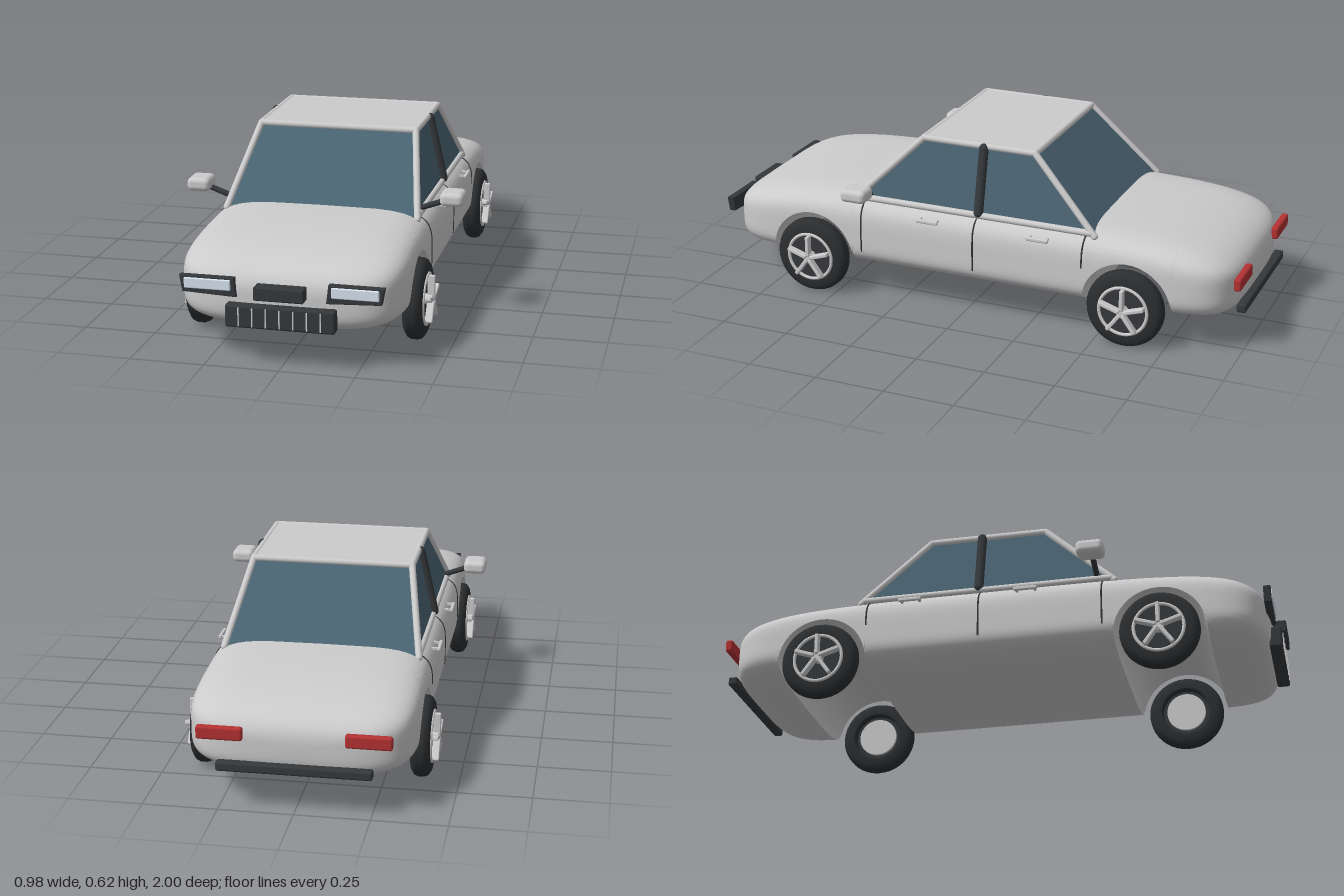
import * as THREE from 'three';
import { toCreasedNormals } from 'three/addons/utils/BufferGeometryUtils.js';
import { RoundedBoxGeometry } from 'three/addons/geometries/RoundedBoxGeometry.js';

const mat = (color) => new THREE.MeshStandardMaterial({ color });
const V = (x, y, z) => new THREE.Vector3(x, y, z);
const paint = mat(0xcccccc), dark = mat(0x35383b), rubber = mat(0x2c2e30);
const glass = mat(0x4a6472), red = mat(0xb43232), lens = mat(0xd8e4f0);

const ARCHES = [0.587, -0.612], ARCH_R = 0.16, ARCH_Y = 0.14;
const MID_Z = -0.012, HALF_LEN = 0.965, MID_Y = 0.22;

// Body outline at a station z: half width, top and underside
function outline(z) {
  const e = Math.min(1, Math.abs(z - MID_Z) / HALF_LEN);
  return {
    w: 0.38 * Math.pow(1 - e ** 14, 0.25),
    top: 0.17 * Math.cbrt(1 - e ** 4),
    low: 0.11 * Math.pow(1 - e ** 20, 0.25),
  };
}

// Half width of the body at height y
function halfWidth(z, y) {
  const o = outline(z), p = y > MID_Y ? 5 : 4;
  const t = Math.min(1, Math.abs(y - MID_Y) / ((y > MID_Y ? o.top : o.low) || 1));
  return o.w * Math.pow(1 - t ** p, 1 / p);
}

// Underside height, raised inside the wheel arches
function floorY(z) {
  let y = MID_Y - outline(z).low;
  for (const c of ARCHES) {
    const d = Math.abs(z - c);
    if (d < ARCH_R) y = Math.max(y, ARCH_Y + Math.sqrt(ARCH_R ** 2 - d * d));
  }
  return y;
}

function bodyGeometry() {
  const zs = [];
  for (let i = 0; i <= 90; i++) {
    const z = MID_Z + HALF_LEN * Math.sin((i / 90 - 0.5) * Math.PI);
    if (ARCHES.every((c) => Math.abs(z - c) > ARCH_R + 0.002)) zs.push(z);
  }
  for (const c of ARCHES) {
    zs.push(c - ARCH_R - 0.0005, c + ARCH_R + 0.0005);
    for (let i = 0; i <= 28; i++) zs.push(c + (ARCH_R - 0.00001) * Math.cos((i / 28) * Math.PI));
  }
  zs.sort((a, b) => a - b);
  const N = 26, ring = 2 * N + 1, pos = [], idx = [];
  zs.forEach((z, i) => {
    const y0 = floorY(z), y1 = MID_Y + outline(z).top;
    for (let j = 0; j < ring; j++) {
      const k = j <= N ? j : 2 * N - j;
      const y = y0 + (y1 - y0) * (1 - Math.cos((k / N) * Math.PI)) / 2;
      const x = k === N ? 0 : halfWidth(z, y);
      pos.push(j <= N ? x : -x, y, z);
      if (i < zs.length - 1) {
        const a = i * ring + j, b = i * ring + (j + 1) % ring;
        idx.push(a, b, b + ring, a, b + ring, a + ring);
      }
    }
  });
  const g = new THREE.BufferGeometry();
  g.setAttribute('position', new THREE.Float32BufferAttribute(pos, 3));
  g.setIndex(idx);
  return toCreasedNormals(g, 0.8);
}

function add(parent, name, geometry, material, x = 0, y = 0, z = 0) {
  const m = new THREE.Mesh(geometry, material);
  m.name = name;
  m.position.set(x, y, z);
  parent.add(m);
  return m;
}

// Round bar between two points
function rod(parent, name, a, b, r, material) {
  const m = add(parent, name, new THREE.CapsuleGeometry(r, a.distanceTo(b), 4, 12), material);
  m.position.copy(a).add(b).multiplyScalar(0.5);
  m.quaternion.setFromUnitVectors(V(0, 1, 0), b.clone().sub(a).normalize());
  return m;
}

const rbox = (w, h, d, r) => new RoundedBoxGeometry(w, h, d, 3, r);

// Corner of the cabin: side sx, front or rear sz, foot or roof
function cabinCorner(sx, sz, roof) {
  return roof ? V(sx * 0.28, 0.613, sz > 0 ? 0.18 : -0.24)
    : V(sx * 0.337, 0.365, sz > 0 ? 0.432 : -0.482);
}

function createCabin() {
  const cabin = new THREE.Group();
  cabin.name = 'cabin';
  const g = new THREE.BoxGeometry(2, 2, 2).toNonIndexed(), p = g.attributes.position;
  for (let i = 0; i < p.count; i++) {
    const c = cabinCorner(p.getX(i), p.getZ(i), p.getY(i) > 0);
    p.setXYZ(i, c.x, c.y, c.z);
  }
  g.computeVertexNormals();
  add(cabin, 'windows', g, glass);
  add(cabin, 'roof', rbox(0.56, 0.016, 0.42, 0.006), paint, 0, 0.614, -0.03);
  for (const s of [1, -1]) {
    for (const f of [1, -1])
      rod(cabin, 'windowPillar', cabinCorner(s, f, false), cabinCorner(s, f, true), 0.012, paint);
    rod(cabin, 'roofRail', cabinCorner(s, 1, true), cabinCorner(s, -1, true), 0.012, paint);
    rod(cabin, 'roofCrossRail', cabinCorner(-1, s, true), cabinCorner(1, s, true), 0.012, paint);
    rod(cabin, 'beltRail', V(s * 0.336, 0.375, 0.42), V(s * 0.336, 0.375, -0.47), 0.012, paint);
    rod(cabin, 'centrePillar', V(s * 0.338, 0.385, -0.052), V(s * 0.287, 0.608, -0.052), 0.017, dark);
  }
  return cabin;
}

// Wheel with its outer face towards +x
function createWheel() {
  const wheel = new THREE.Group();
  wheel.name = 'wheel';
  const lathe = (pts) => toCreasedNormals(
    new THREE.LatheGeometry(pts.map(([r, x]) => new THREE.Vector2(r, x)), 40).rotateZ(-Math.PI / 2), 0.6);
  add(wheel, 'tyre', lathe([[0.086, -0.026], [0.092, -0.032], [0.118, -0.032], [0.133, -0.022], [0.138, -0.01],
    [0.138, 0.01], [0.133, 0.022], [0.118, 0.032], [0.092, 0.032], [0.086, 0.026], [0.086, -0.026]]), rubber);
  const disc = (name, r, w, material, x) =>
    add(wheel, name, new THREE.CylinderGeometry(r, r, w, 32).rotateZ(Math.PI / 2), material, x);
  disc('wheelBack', 0.088, 0.03, dark, 0.006);
  disc('innerHub', 0.072, 0.012, paint, -0.014);
  disc('hub', 0.018, 0.03, paint, 0.034);
  add(wheel, 'rim', new THREE.TorusGeometry(0.086, 0.006, 8, 40).rotateY(Math.PI / 2), paint, 0.032);
  for (let i = 0; i < 5; i++) {
    const spoke = add(wheel, 'spoke', rbox(0.026, 0.076, 0.014, 0.004).translate(0, 0.046, 0), paint, 0.045);
    spoke.rotation.x = (i / 5) * Math.PI * 2;
  }
  return wheel;
}

export function createModel() {
  const car = new THREE.Group();
  car.name = 'car';
  add(car, 'body', bodyGeometry(), paint);
  car.add(createCabin());

  for (const s of [1, -1]) {
    for (const z of ARCHES) {
      const wheel = createWheel();
      wheel.position.set(s * 0.372, 0.138, z);
      if (s < 0) wheel.rotation.y = Math.PI;
      car.add(wheel);
    }
    // Door seams follow the body side
    for (const [z, low] of [[0.39, 0.18], [-0.045, 0.18], [-0.45, 0.26]]) {
      const pts = [];
      for (let i = 0; i <= 8; i++) {
        const y = low + (0.375 - low) * (i / 8);
        pts.push(V(s * halfWidth(z, y), y, z));
      }
      add(car, 'doorSeam', new THREE.TubeGeometry(new THREE.CatmullRomCurve3(pts), 16, 0.003, 6), dark);
    }
    // Door handles on short posts
    for (const z of [0.125, -0.29]) {
      add(car, 'doorHandle', rbox(0.012, 0.014, 0.084, 0.005), paint, s * 0.388, 0.341, z);
      for (const d of [-0.032, 0.032])
        add(car, 'handlePost', new THREE.BoxGeometry(0.035, 0.008, 0.008), paint, s * 0.37, 0.341, z + d);
    }
    rod(car, 'mirrorArm', V(s * 0.33, 0.387, 0.37), V(s * 0.42, 0.42, 0.37), 0.01, dark);
    add(car, 'mirror', rbox(0.082, 0.048, 0.096, 0.018), paint, s * 0.448, 0.432, 0.367);

    // Headlight housing with a tapered outer end
    const shape = new THREE.Shape([[0.151, 0.228], [0.325, 0.236], [0.334, 0.285], [0.158, 0.285]]
      .map(([x, y]) => new THREE.Vector2(s * x, y)));
    const housing = new THREE.ExtrudeGeometry(shape,
      { depth: 0.02, bevelSize: 0.003, bevelThickness: 0.003, bevelSegments: 2 });
    add(car, 'headlightHousing', housing, dark, 0, 0, 0.942);
    add(car, 'headlightLens', rbox(0.155, 0.036, 0.012, 0.004), lens, s * 0.243, 0.264, 0.964);
    add(car, 'tailLight', rbox(0.152, 0.045, 0.026, 0.008), red, s * 0.242, 0.262, -0.982);
  }

  // Front plate and grille
  add(car, 'frontPlate', rbox(0.165, 0.045, 0.05, 0.005), dark, 0, 0.252, 0.972);
  add(car, 'grille', rbox(0.362, 0.076, 0.045, 0.008), dark, 0, 0.168, 0.962);
  for (let i = -3; i <= 3; i++)
    add(car, 'grilleSlat', new THREE.BoxGeometry(0.004, 0.062, 0.008), paint, i * 0.045, 0.168, 0.984);

  // Rear bumper bar
  add(car, 'rearBar', rbox(0.51, 0.032, 0.034, 0.008), dark, 0, 0.15, -0.983);
  return car;
}
